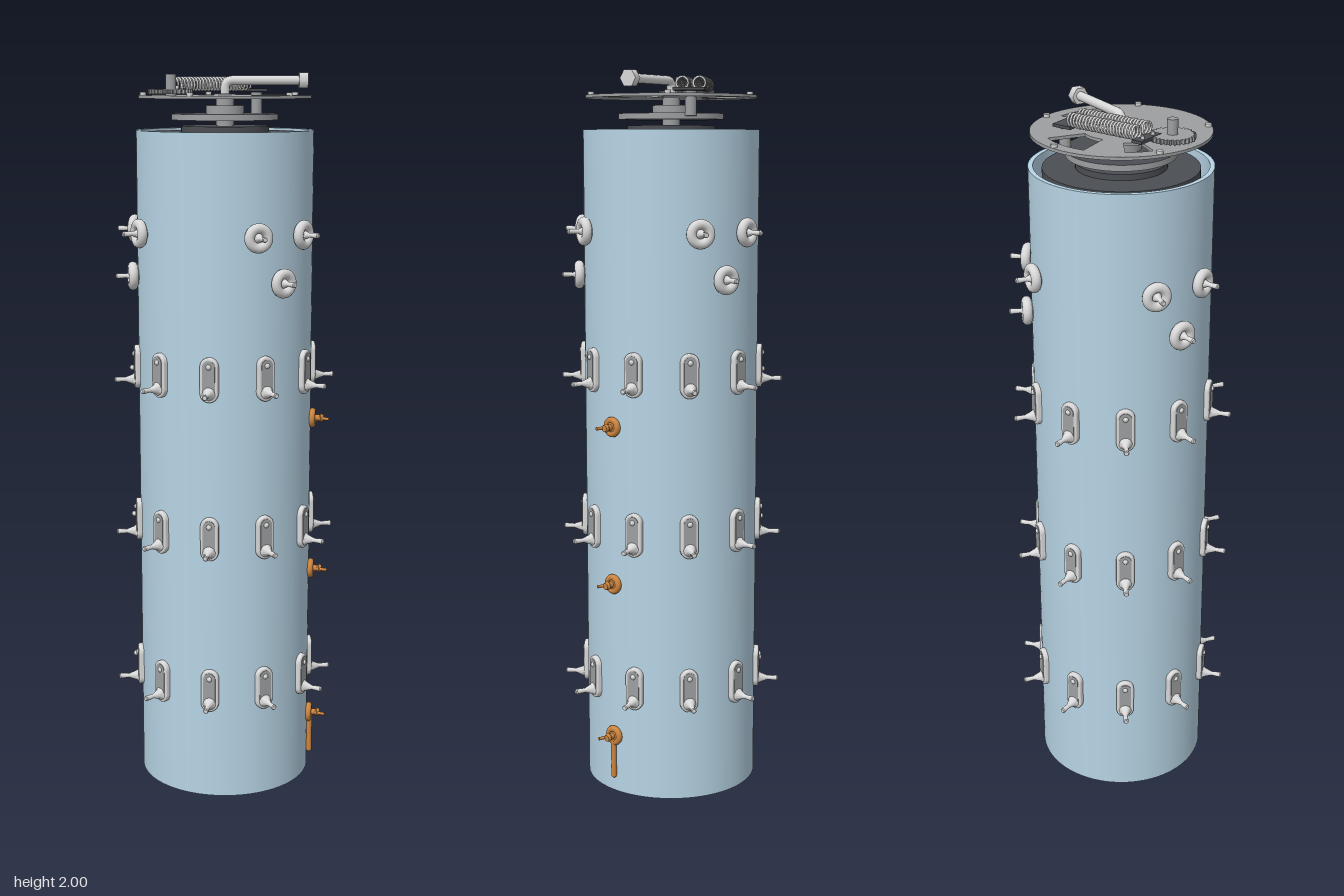
import * as THREE from 'three';
import { toCreasedNormals } from 'three/addons/utils/BufferGeometryUtils.js';

const mat = (name, color) => {
  const m = new THREE.MeshStandardMaterial({ color });
  m.name = name;
  return m;
};
const rad = THREE.MathUtils.degToRad;

export function createModel() {
  const root = new THREE.Group();
  root.name = 'controlColumn';
  const blue = mat('pale blue', 0xb7d4e5);
  const silver = mat('silver', 0xd8d8d8);
  const grey = mat('plate grey', 0x9d9fa1);
  const dark = mat('dark grey', 0x4b4e53);
  const bronze = mat('bronze', 0xcd853f);

  const add = (parent, name, geo, material, x = 0, y = 0, z = 0) => {
    const m = new THREE.Mesh(geo, material);
    m.name = name;
    m.position.set(x, y, z);
    parent.add(m);
    return m;
  };
  const disc = (name, r, y0, y1, material, x = 0, z = 0, sides = 48) =>
    add(root, name, new THREE.CylinderGeometry(r, r, y1 - y0, sides), material, x, (y0 + y1) / 2, z);
  const lathe = (pts, sides) =>
    toCreasedNormals(new THREE.LatheGeometry(pts.map(p => new THREE.Vector2(...p)), sides), 0.6);
  // A group on the column wall: local +z points straight out
  const station = (name, angle, y) => {
    const g = new THREE.Group();
    g.name = name;
    g.position.y = y;
    g.rotation.y = rad(angle);
    root.add(g);
    return g;
  };

  // Hollow column with a recessed drum
  add(root, 'column', lathe([[0, 0], [0.242, 0], [0.242, 1.845], [0.229, 1.845], [0.229, 1.74], [0, 1.74]], 96), blue);
  disc('innerDrum', 0.206, 1.741, 1.84, dark);

  // Toggle lever, profile runs outward along the radius
  const leverGeo = lathe([[0, 0], [0.018, 0], [0.018, 0.016], [0.014, 0.02], [0.0075, 0.038],
    [0.006, 0.042], [0.0075, 0.068], [0.0055, 0.071], [0, 0.072]], 16).rotateX(Math.PI / 2);

  // Oblong switch plates
  const capsule = (w, h) => {
    const s = new THREE.Shape(), r = w / 2, k = h / 2 - r;
    s.absarc(0, k, r, 0, Math.PI);
    s.absarc(0, -k, r, Math.PI, 2 * Math.PI);
    s.closePath();
    return s;
  };
  const plateGeo = new THREE.ExtrudeGeometry(capsule(0.04, 0.112), {
    depth: 0.012, bevelThickness: 0.005, bevelSize: 0.005, bevelSegments: 3, curveSegments: 12 });
  const faceGeo = new THREE.ExtrudeGeometry(capsule(0.034, 0.106), { depth: 0.002, bevelEnabled: false });
  const knobGeo = new THREE.SphereGeometry(0.008, 12, 8);
  for (const y of [0.318, 0.757, 1.198]) {
    for (let i = 0; i < 10; i++) {
      const g = station('toggleSwitch', 14 + i * 36, y);
      add(g, 'switchPlate', plateGeo, silver, 0, 0, 0.238);
      add(g, 'switchFace', faceGeo, grey, 0, 0, 0.2545);
      add(g, 'switchLever', leverGeo, silver, 0, -0.036, 0.24);
      add(g, 'switchKnob', knobGeo, silver, 0, 0.036, 0.254);
    }
  }

  // Round ringed switches, three triangular clusters
  const ringGeo = new THREE.TorusGeometry(0.026, 0.0135, 14, 32);
  const backGeo = new THREE.CylinderGeometry(0.026, 0.026, 0.02, 24).rotateX(Math.PI / 2);
  for (const c of [25.5, 145.5, 265.5]) {
    for (const [a, y] of [[-17.5, 1.574], [17.5, 1.574], [0, 1.451]]) {
      const g = station('roundSwitch', c + a, y);
      add(g, 'switchRing', ringGeo, silver, 0, 0, 0.256);
      add(g, 'switchBack', backGeo, grey, 0, 0, 0.242);
      add(g, 'switchLever', leverGeo, silver, 0, 0, 0.232);
    }
  }

  // Bronze taps, the lowest with a hanging handle
  const tapRing = new THREE.TorusGeometry(0.019, 0.009, 12, 28);
  const tapStem = lathe([[0, 0], [0.019, 0], [0.019, 0.014], [0.009, 0.018], [0.009, 0.03],
    [0.012, 0.034], [0.009, 0.042], [0, 0.043]], 16).rotateX(Math.PI / 2);
  [0.167, 0.609, 1.051].forEach((y, i) => {
    const g = station('tap', 70, y);
    add(g, 'tapFlange', tapRing, bronze, 0, 0, 0.248);
    add(g, 'tapStem', tapStem, bronze, 0, 0, 0.238);
    const pin = add(g, 'tapPin', new THREE.CylinderGeometry(0.0045, 0.0045, 0.04, 10), bronze, -0.008, 0, 0.277);
    pin.rotation.set(Math.PI / 2, 0, 0.3);
    if (i === 0) add(g, 'tapHandle', new THREE.CapsuleGeometry(0.008, 0.115, 4, 12), bronze, 0, -0.06, 0.25);
  });

  // Mechanism between the column and the lid
  disc('lowerDisc', 0.12, 1.84, 1.856, dark);
  disc('shaft', 0.024, 1.85, 1.93, grey);
  disc('rotorDisc', 0.145, 1.872, 1.888, [grey, dark, dark]);
  disc('hub', 0.052, 1.888, 1.91, grey);
  disc('sidePost', 0.015, 1.88, 1.945, grey, 0.11, -0.096, 20);

  // Lid with sector windows; angles run from +x towards +z
  const lid = new THREE.Shape();
  lid.absarc(0, 0, 0.235, 0, Math.PI * 2);
  for (const [r0, r1, a0, a1] of [[0.1, 0.2, 250, 290], [0.08, 0.198, -10, 41], [0.12, 0.198, 199, 220]]) {
    const h = new THREE.Path();
    h.absarc(0, 0, r1, rad(a0), rad(a1), false);
    h.absarc(0, 0, r0, rad(a1), rad(a0), true);
    h.closePath();
    lid.holes.push(h);
  }
  const flat = (shape, depth) =>
    new THREE.ExtrudeGeometry(shape, { depth, bevelEnabled: false, curveSegments: 48 }).rotateX(Math.PI / 2);
  add(root, 'lid', flat(lid, 0.008), grey, 0, 1.937, 0);
  for (let i = 0; i < 5; i++) {
    const a = rad(-90 + i * 72);
    disc('lidBolt', 0.009, 1.936, 1.945, silver, 0.225 * Math.cos(a), 0.225 * Math.sin(a), 6);
  }

  // Gear with its axle
  const gear = new THREE.Shape();
  for (let i = 0; i < 120; i++) {
    const a = i / 120 * Math.PI * 2, r = i % 4 < 2 ? 0.06 : 0.053;
    gear[i ? 'lineTo' : 'moveTo'](r * Math.cos(a), r * Math.sin(a));
  }
  gear.closePath();
  add(root, 'gear', flat(gear, 0.012), grey, -0.155, 1.953, 0.031);
  disc('gearAxle', 0.014, 1.937, 1.992, grey, -0.155, 0.031, 24);

  // Twin springs between two end brackets
  const springs = new THREE.Group();
  springs.name = 'springUnit';
  springs.position.set(-0.012, 1.962, -0.063);
  springs.rotation.y = rad(13);
  root.add(springs);
  add(springs, 'leftBracket', new THREE.BoxGeometry(0.03, 0.008, 0.088), dark, -0.122, -0.012, 0);
  add(springs, 'rightBracket', new THREE.BoxGeometry(0.055, 0.008, 0.084), dark, 0.11, -0.012, 0);
  const turns = 22;
  const coil = new THREE.Curve();
  coil.getPoint = (t, v = new THREE.Vector3()) => {
    const a = t * turns * Math.PI * 2;
    return v.set(-0.112 + t * 0.205, 0.0165 * Math.cos(a), 0.0165 * Math.sin(a));
  };
  const coilGeo = new THREE.TubeGeometry(coil, turns * 16, 0.0032, 6);
  for (const z of [-0.023, 0.023]) {
    add(springs, 'spring', coilGeo, silver, 0, 0.005, z);
    add(springs, 'springBolt', new THREE.CylinderGeometry(0.005, 0.005, 0.012, 10), silver, -0.126, -0.006, z);
  }

  // Bent crank arm with a block at its end
  const crank = new THREE.Group();
  crank.name = 'crank';
  crank.rotation.y = rad(-10);
  root.add(crank);
  const bend = new THREE.CurvePath();
  const V = (x, y) => new THREE.Vector3(x, y, 0);
  bend.add(new THREE.LineCurve3(V(0, 1.93), V(0, 1.955)));
  bend.add(new THREE.QuadraticBezierCurve3(V(0, 1.955), V(0, 1.976), V(0.021, 1.976)));
  bend.add(new THREE.LineCurve3(V(0.021, 1.976), V(0.205, 1.976)));
  add(crank, 'crankArm', new THREE.TubeGeometry(bend, 60, 0.0125, 14), silver);
  add(crank, 'crankEnd', new THREE.CylinderGeometry(0.024, 0.024, 0.024, 6).rotateZ(Math.PI / 2), silver, 0.212, 1.976, 0);
  disc('crankBoss', 0.03, 1.937, 1.941, grey);

  return root;
}
